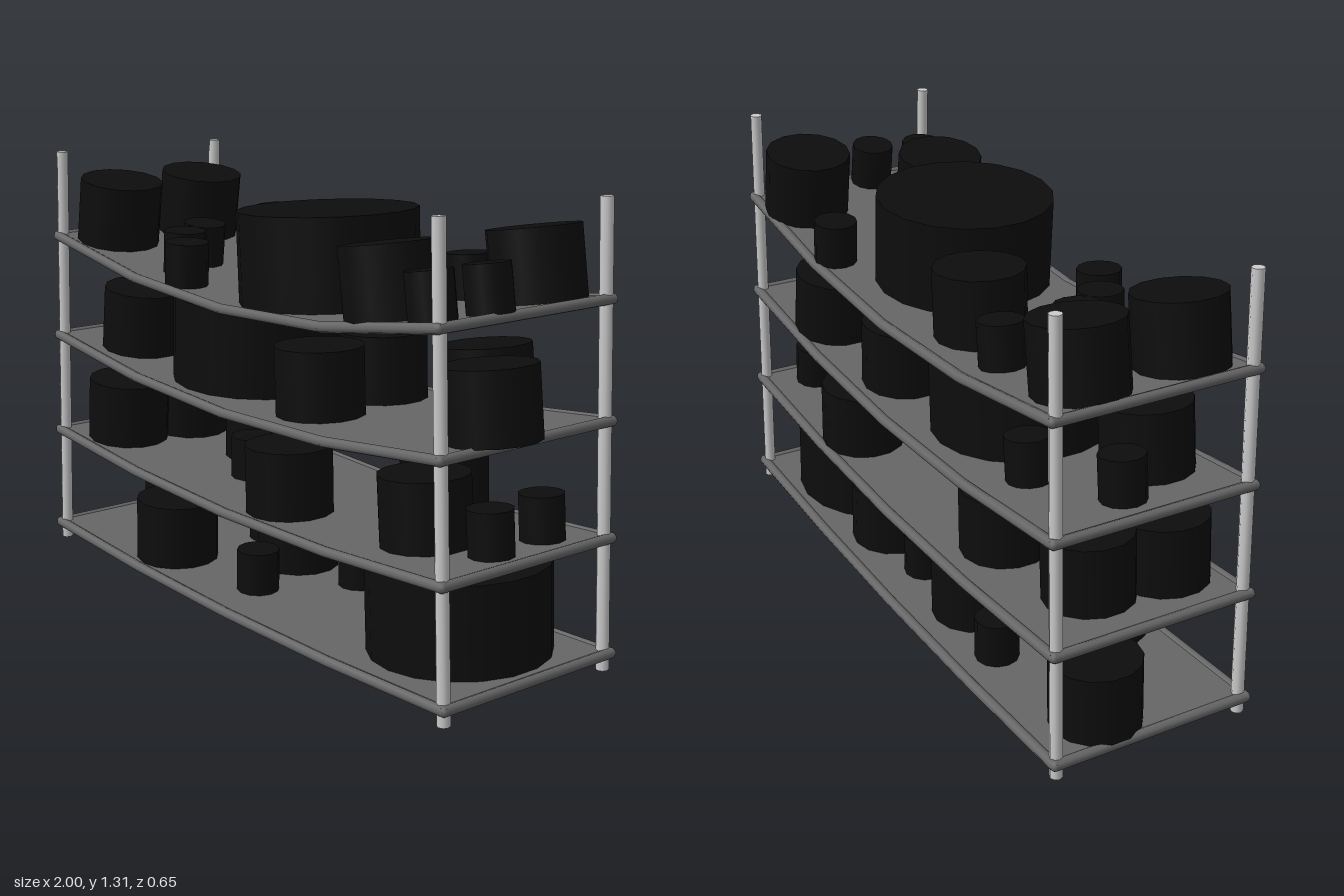
import * as THREE from 'three';

const CX = -0.018; // middle of the rack
const HALF_DEPTH = 0.31;

// each shelf: half width, height at the ends, height at the sagging middle
const SHELVES = [
  { half: 0.967, end: 0.052, mid: 0.021 },
  { half: 0.95, end: 0.382, mid: 0.333 },
  { half: 0.934, end: 0.709, mid: 0.636 },
  { half: 0.917, end: 1.04, mid: 0.943 },
];

// pot sizes: radius, height, sides
const SIZES = { S: [0.065, 0.13, 12], M: [0.131, 0.2, 14], L: [0.262, 0.265, 18] };

// pots on each shelf: size, x, z
const POTS = [
  [['M', -0.865, -0.11], ['M', -0.485, 0.165], ['S', -0.455, -0.18], ['M', -0.21, -0.115],
    ['S', -0.095, 0.13], ['S', 0.065, -0.14], ['M', 0.305, -0.13], ['L', 0.65, -0.015]],
  [['M', -0.75, -0.07], ['M', -0.77, 0.16], ['M', -0.39, -0.12], ['S', -0.232, 0.05],
    ['M', 0.105, 0.16], ['M', 0.4, -0.18], ['M', 0.62, 0.09], ['S', 0.82, -0.155], ['S', 0.835, 0.05]],
  [['S', -0.835, -0.03], ['M', -0.695, 0.14], ['S', -0.58, -0.16], ['L', -0.25, 0.01],
    ['M', 0.165, -0.145], ['M', 0.21, 0.13], ['M', 0.57, -0.18], ['M', 0.86, 0.085]],
  [['M', -0.795, -0.15], ['M', -0.785, 0.165], ['S', -0.485, -0.19], ['S', -0.495, 0.04],
    ['S', -0.43, 0.155], ['M', -0.255, -0.125], ['S', -0.285, 0.245], ['L', 0.135, 0.04],
    ['S', 0.41, -0.25], ['M', 0.73, -0.195], ['M', 0.575, 0.19], ['S', 0.84, 0.085], ['S', 0.8, 0.245]],
];

// sagging curve, straight between five points
function sagAt(s, x) {
  const t = Math.min(Math.abs(x - CX) / s.half, 1.2);
  const rise = t < 0.5 ? t * 0.5 : 0.25 + (t - 0.5) * 1.5;
  return s.mid + (s.end - s.mid) * rise;
}

// round bar between two points
function bar(a, b, radius, sides, material, name) {
  const dir = b.clone().sub(a);
  const mesh = new THREE.Mesh(new THREE.CylinderGeometry(radius, radius, dir.length(), sides), material);
  mesh.position.copy(a).add(b).multiplyScalar(0.5);
  mesh.quaternion.setFromUnitVectors(new THREE.Vector3(0, 1, 0), dir.normalize());
  mesh.name = name;
  return mesh;
}

function makeShelf(s, material) {
  const shelf = new THREE.Group();
  shelf.name = 'shelf';
  // sagging plate
  const geo = new THREE.BoxGeometry(2 * s.half, 0.02, 2 * HALF_DEPTH, 4, 1, 1);
  geo.translate(CX, 0, 0);
  const p = geo.attributes.position;
  for (let i = 0; i < p.count; i++) p.setY(i, p.getY(i) + sagAt(s, p.getX(i)));
  geo.computeVertexNormals();
  const plate = new THREE.Mesh(geo, material);
  plate.name = 'shelfPlate';
  shelf.add(plate);
  // rounded rim following the plate
  const at = (t, z) => new THREE.Vector3(CX + t * s.half, sagAt(s, CX + t * s.half), z);
  for (const z of [-HALF_DEPTH, HALF_DEPTH]) {
    for (let t = -1; t < 1; t += 0.5) shelf.add(bar(at(t, z), at(t + 0.5, z), 0.0155, 8, material, 'shelfRim'));
  }
  for (const t of [-1, 1]) {
    shelf.add(bar(at(t, -HALF_DEPTH), at(t, HALF_DEPTH), 0.0155, 8, material, 'shelfRim'));
    for (const z of [-HALF_DEPTH, HALF_DEPTH]) {
      const corner = new THREE.Mesh(new THREE.SphereGeometry(0.0155, 8, 6), material);
      corner.position.copy(at(t, z));
      corner.name = 'shelfRimCorner';
      shelf.add(corner);
    }
  }
  return shelf;
}

// pot standing square to the local slope of its shelf
function makePot(s, [size, x, z], material) {
  const [r, h, sides] = SIZES[size];
  const slope = (sagAt(s, x + r * 0.6) - sagAt(s, x - r * 0.6)) / (r * 1.2);
  const angle = Math.atan(slope);
  const pot = new THREE.Mesh(new THREE.CylinderGeometry(r, r, h, sides), material);
  const lift = h / 2 + 0.01;
  const baseX = x + Math.sin(angle) * lift;
  pot.position.set(x, sagAt(s, baseX) + Math.cos(angle) * lift, z);
  pot.rotation.z = angle;
  pot.name = 'pot';
  return pot;
}

export function createModel() {
  const model = new THREE.Group();
  model.name = 'shelfRack';
  const postMat = new THREE.MeshStandardMaterial({ color: 0xcccccc });
  const shelfMat = new THREE.MeshStandardMaterial({ color: 0x666666 });
  const potMat = new THREE.MeshStandardMaterial({ color: 0x0d0d0d });

  // four posts leaning inwards
  for (const sx of [-1, 1]) {
    for (const z of [-0.296, 0.296]) {
      const foot = new THREE.Vector3(CX + sx * 0.952, 0.003, z);
      const tip = new THREE.Vector3(CX + sx * 0.897, 1.313, z);
      model.add(bar(foot, tip, 0.0185, 8, postMat, 'post'));
    }
  }

  // shelves with their pots
  SHELVES.forEach((s, i) => {
    model.add(makeShelf(s, shelfMat));
    const pots = new THREE.Group();
    pots.name = 'shelfPots';
    for (const pot of POTS[i]) pots.add(makePot(s, pot, potMat));
    model.add(pots);
  });
  return model;
}
